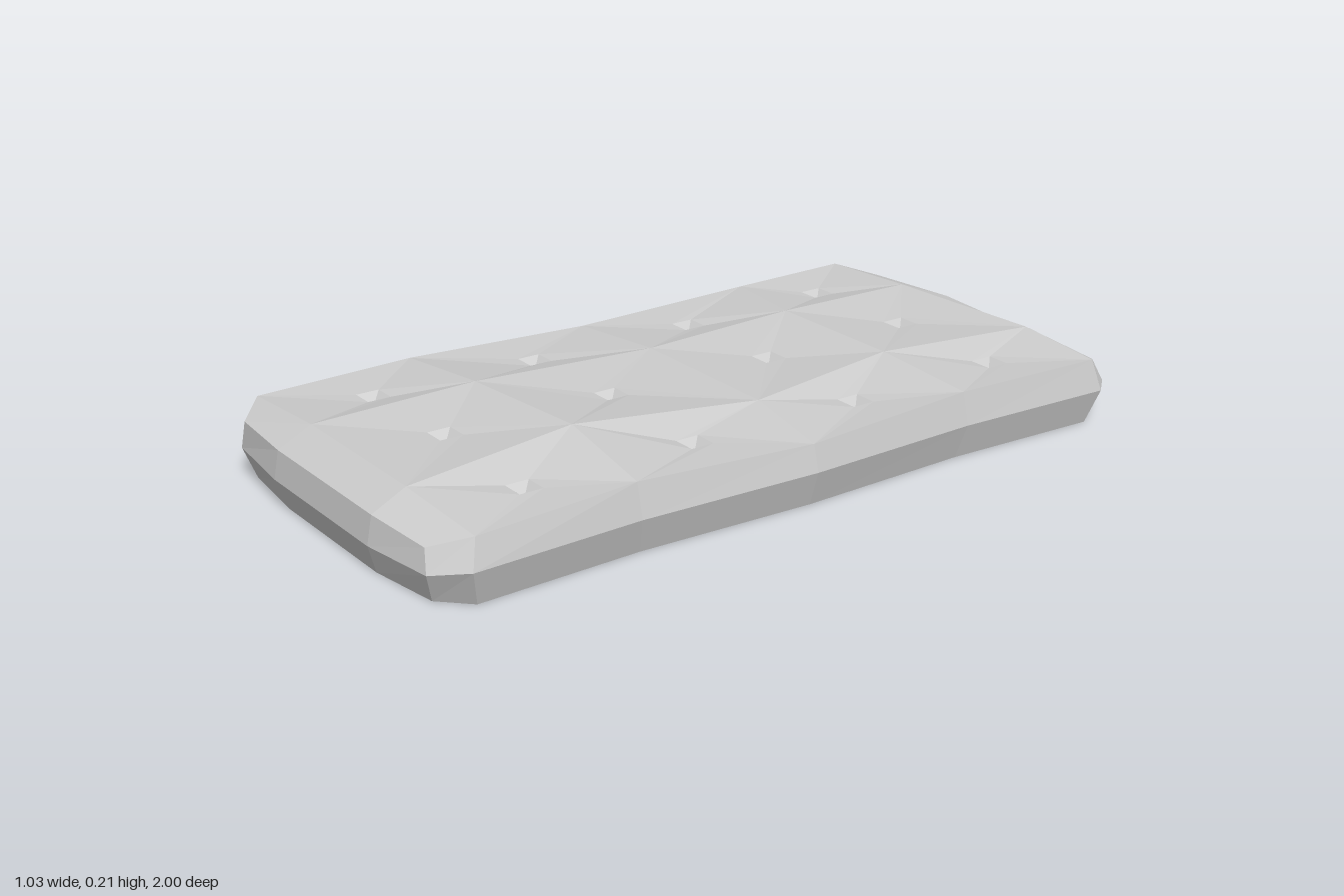
import * as THREE from 'three';

// Quilting seam points [x, y, z]: five rows from back to front, four across
const seams = [
  [[-0.49, 0.167, -0.87], [-0.2, 0.183, -0.865], [0.25, 0.183, -0.89], [0.49, 0.165, -0.885]],
  [[-0.48, 0.167, -0.53], [-0.2, 0.187, -0.465], [0.19, 0.187, -0.465], [0.475, 0.167, -0.47]],
  [[-0.485, 0.155, -0.02], [-0.19, 0.177, -0.03], [0.25, 0.175, -0.03], [0.495, 0.152, 0]],
  [[-0.5, 0.168, 0.48], [-0.2, 0.195, 0.47], [0.19, 0.206, 0.45], [0.475, 0.17, 0.47]],
  [[-0.48, 0.167, 0.9], [-0.2, 0.185, 0.9], [0.24, 0.185, 0.9], [0.49, 0.157, 0.88]],
];
// Upper rim of the two ends, left to right
const frontRim = [[-0.405, 0.142, 0.97], [-0.2, 0.142, 0.985], [0.24, 0.142, 0.985], [0.42, 0.127, 0.96]];
const backRim = [[-0.415, 0.135, -0.965], [-0.15, 0.14, -0.985], [0.24, 0.13, -0.97], [0.415, 0.128, -0.965]];
// Widest outline [x, z], anticlockwise from above, starting at the back left
const outline = [
  [-0.515, -0.9], [-0.495, -0.53], [-0.5, -0.02], [-0.515, 0.48], [-0.5, 0.91],
  [-0.42, 0.975], [-0.2, 0.998], [0.24, 0.998], [0.44, 0.97],
  [0.512, 0.9], [0.495, 0.47], [0.512, 0], [0.495, -0.47], [0.512, -0.9],
  [0.435, -0.985], [0.24, -0.985], [-0.15, -1], [-0.43, -0.98],
];
const tuftX = [-0.335, 0.005, 0.34], tuftZ = [-0.68, -0.25, 0.22, 0.67];

function makeMesh(name, faces) {
  const positions = [];
  for (const f of faces) {
    for (let i = 1; i < f.length - 1; i++) positions.push(...f[0], ...f[i], ...f[i + 1]);
  }
  const geometry = new THREE.BufferGeometry();
  geometry.setAttribute('position', new THREE.Float32BufferAttribute(positions, 3));
  geometry.computeVertexNormals();
  const mesh = new THREE.Mesh(geometry, new THREE.MeshStandardMaterial({ color: 0xcccccc, flatShading: true }));
  mesh.name = name;
  return mesh;
}

// Quilted top: each cell sinks to a small square dimple
function quiltedTop() {
  const faces = [];
  const half = 0.03;
  for (let r = 0; r < 4; r++) {
    for (let c = 0; c < 3; c++) {
      const corners = [seams[r][c], seams[r + 1][c], seams[r + 1][c + 1], seams[r][c + 1]];
      const y = corners.reduce((sum, p) => sum + p[1], 0) / 4 - 0.018;
      const x = tuftX[c], z = tuftZ[r];
      const rim = [[-1, -1], [-1, 1], [1, 1], [1, -1]].map(([sx, sz]) => [x + sx * half, y, z + sz * half]);
      const pit = [x, y - 0.025, z];
      for (let i = 0; i < 4; i++) {
        const j = (i + 1) % 4;
        faces.push([corners[i], corners[j], rim[j], rim[i]], [rim[i], rim[j], pit]);
      }
    }
  }
  return makeMesh('quiltedTop', faces);
}

// Sloping bevels joining the top to the end walls
function endBevels() {
  const faces = [];
  for (let i = 0; i < 3; i++) {
    faces.push([frontRim[i], frontRim[i + 1], seams[4][i + 1], seams[4][i]]);
    faces.push([seams[0][i], seams[0][i + 1], backRim[i + 1], backRim[i]]);
  }
  return makeMesh('endBevels', faces);
}

// Side walls bulge at mid height and tuck in to a flat underside
function wallsAndBase() {
  const upper = [
    ...seams.map((row) => row[0]), ...frontRim,
    ...seams.map((row) => row[3]).reverse(), ...[...backRim].reverse(),
  ];
  const middle = outline.map(([x, z]) => [x, Math.abs(x) > 0.48 ? 0.087 : 0.073, z]);
  const bottom = outline.map(([x, z]) => [x * 0.945, 0, z * 0.975]);
  const walls = [], base = [];
  for (let i = 0; i < upper.length; i++) {
    const j = (i + 1) % upper.length;
    walls.push([bottom[i], bottom[j], middle[j], middle[i]], [middle[i], middle[j], upper[j], upper[i]]);
    base.push([bottom[j], bottom[i], [0, 0, 0]]);
  }
  return [makeMesh('sideWalls', walls), makeMesh('underside', base)];
}

export function createModel() {
  const mattress = new THREE.Group();
  mattress.name = 'mattress';
  mattress.add(quiltedTop(), endBevels(), ...wallsAndBase());
  return mattress;
}
